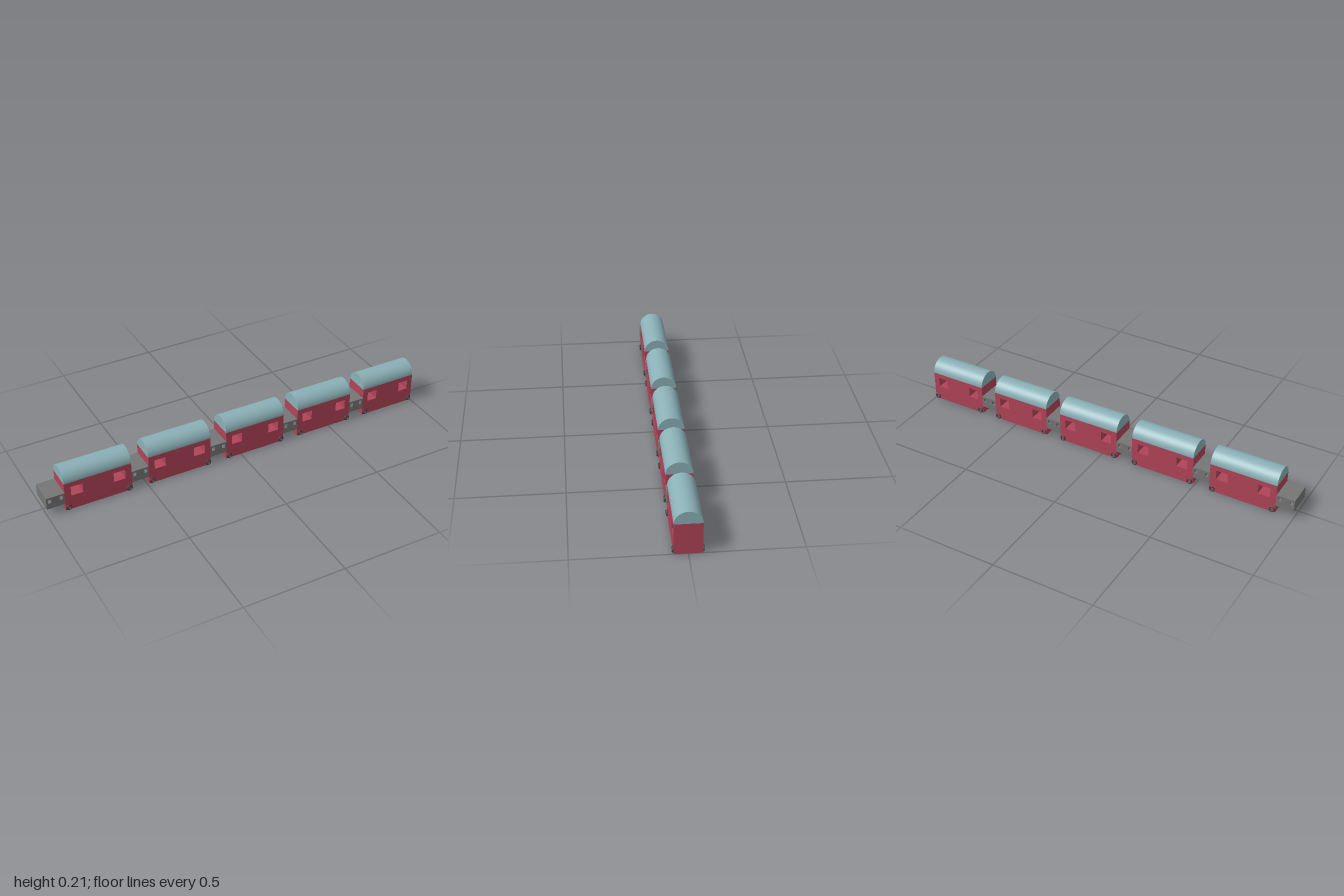
import * as THREE from 'three';

const HALF = 0.0625; // half width of the train
const red = new THREE.MeshStandardMaterial({ color: 0xb04458 });
const blue = new THREE.MeshStandardMaterial({ color: 0x8ab0b6 });
const grey = new THREE.MeshStandardMaterial({ color: 0x757575 });
const dark = new THREE.MeshStandardMaterial({ color: 0x404444 });

function addMesh(parent, name, geometry, material) {
  const mesh = new THREE.Mesh(geometry, material);
  mesh.name = name;
  parent.add(mesh);
  return mesh;
}

function rectangle(target, x0, x1, y0, y1) {
  target.moveTo(x0, y0);
  target.lineTo(x1, y0);
  target.lineTo(x1, y1);
  target.lineTo(x0, y1);
  target.closePath();
  return target;
}

// Solid block with two square openings running through its width
function windowedBlock(x0, x1, y0, y1) {
  const w = x1 - x0, h = y1 - y0;
  const shape = rectangle(new THREE.Shape(), x0, x1, y0, y1);
  for (const f of [0.095, 0.73]) {
    shape.holes.push(rectangle(new THREE.Path(),
      x0 + f * w, x0 + (f + 0.175) * w, y0 + 0.5 * h, y0 + 0.83 * h));
  }
  const geometry = new THREE.ExtrudeGeometry(shape, { depth: 2 * HALF, bevelEnabled: false });
  return geometry.translate(0, 0, -HALF);
}

// Half-elliptical roof along x
function roofGeometry(x0, x1) {
  const shape = new THREE.Shape();
  shape.moveTo(HALF, 0);
  shape.absellipse(0, 0, HALF, 0.06, 0, Math.PI, false, 0);
  shape.closePath();
  const geometry = new THREE.ExtrudeGeometry(shape, {
    depth: x1 - x0, bevelEnabled: false, curveSegments: 32,
  });
  return geometry.rotateY(Math.PI / 2).translate(x0, 0.15, 0);
}

export function createModel() {
  const train = new THREE.Group();
  train.name = 'train';
  const cars = [[-0.91, -0.577], [-0.49, -0.165], [-0.08, 0.238], [0.318, 0.622], [0.703, 1]];
  const wheelGeometry = new THREE.TorusGeometry(0.0115, 0.0035, 10, 24);

  let previousEnd = -1;
  cars.forEach(([x0, x1], i) => {
    const car = new THREE.Group();
    car.name = `carriage${i + 1}`;
    train.add(car);

    // Coupling block in front of each carriage
    addMesh(car, 'coupling', windowedBlock(previousEnd, x0, 0.04, 0.1), grey);
    addMesh(car, 'body', windowedBlock(x0, x1, 0, 0.15), red);
    addMesh(car, 'roof', roofGeometry(x0, x1), blue);

    // Ring wheels at the four lower corners
    for (const x of [x0 + 0.015, x1 - 0.015]) {
      for (const side of [-1, 1]) {
        addMesh(car, 'wheel', wheelGeometry, dark).position.set(x, 0.015, side * 0.0653);
      }
    }
    previousEnd = x1;
  });
  return train;
}
